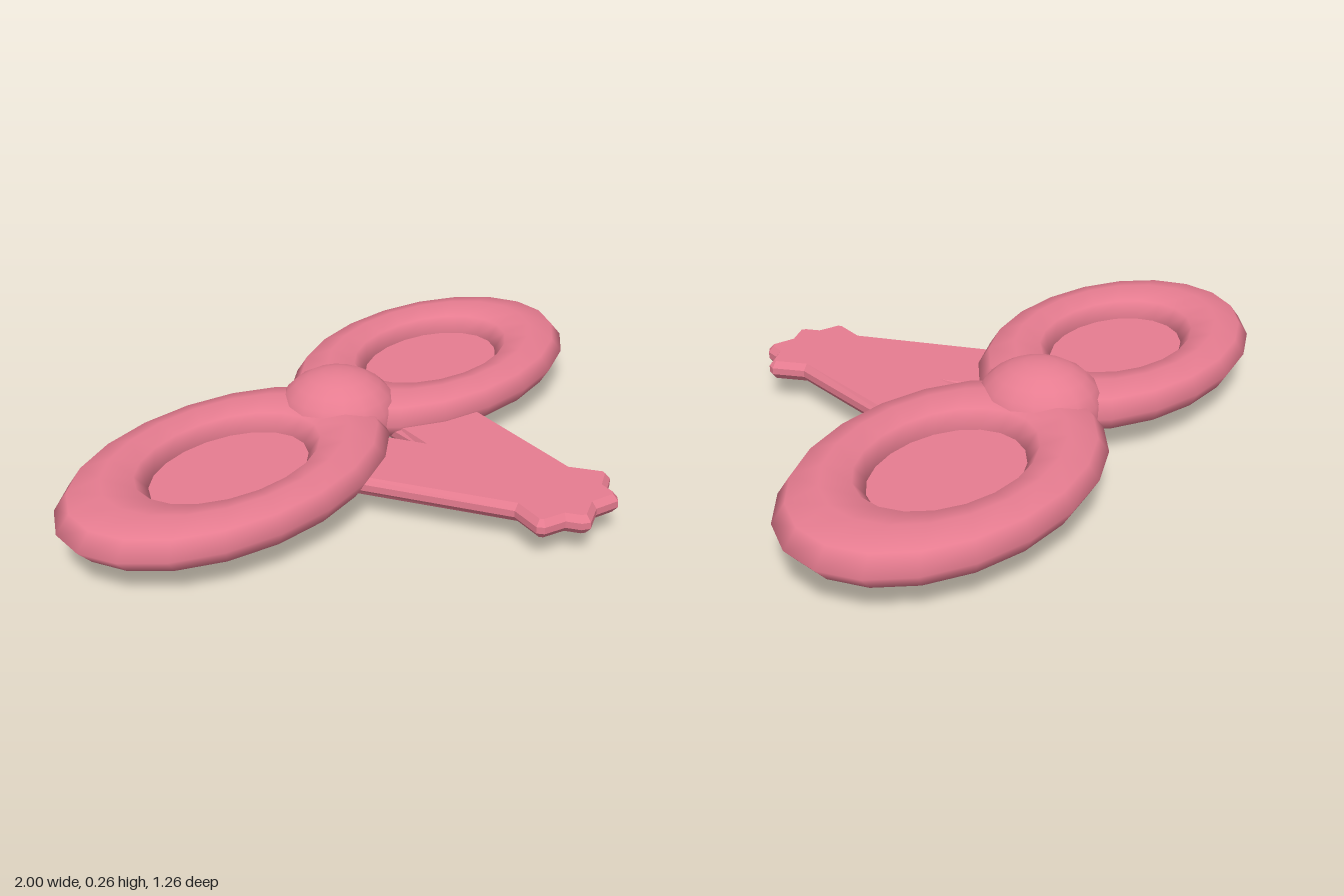
import * as THREE from 'three';

const pink = new THREE.MeshStandardMaterial({ color: 0xe67c90 });
const pinkThin = new THREE.MeshStandardMaterial({ color: 0xe67c90, side: THREE.DoubleSide });

const MID_Y = 0.132;
const KNOT_Z = -0.278;

function addMesh(parent, name, geometry, material = pink) {
  const mesh = new THREE.Mesh(geometry, material);
  mesh.name = name;
  parent.add(mesh);
  return mesh;
}

// Flattened oval ring, a little wider in its tube at the two ends
function loopRing() {
  const ring = new THREE.TorusGeometry(0.267, 0.09, 8, 20).rotateX(-Math.PI / 2);
  const pos = ring.attributes.position;
  for (let i = 0; i < pos.count; i++) {
    const x = pos.getX(i);
    const r = Math.hypot(x, pos.getZ(i));
    pos.setX(i, (x / r) * (0.397 + (r - 0.267) * 1.59));
    pos.setY(i, pos.getY(i) * 0.7);
  }
  ring.computeVertexNormals();
  // keep the seam smooth by sharing normals between coincident vertices
  const normal = ring.attributes.normal;
  const sums = new Map();
  const key = (i) => [pos.getX(i), pos.getY(i), pos.getZ(i)].map((v) => Math.round(v * 1e4)).join();
  const n = new THREE.Vector3();
  for (let i = 0; i < pos.count; i++) {
    const k = key(i);
    if (!sums.has(k)) sums.set(k, new THREE.Vector3());
    sums.get(k).add(n.fromBufferAttribute(normal, i));
  }
  for (let i = 0; i < pos.count; i++) {
    n.copy(sums.get(key(i))).normalize();
    normal.setXYZ(i, n.x, n.y, n.z);
  }
  return ring;
}

// Chamfered ribbon plate with a notched back and a scalloped front end
function tailPlate() {
  const half = [
    [0, 0.03], [0.05, -0.16], [0.33, -0.15], [0.14, 0.44], [0.175, 0.53],
    [0.165, 0.55], [0.105, 0.575], [0.09, 0.615], [0.07, 0.63], [0, 0.605],
  ];
  const mirrored = half.slice(1, -1).reverse().map(([x, z]) => [-x, z]);
  const shape = new THREE.Shape([...half, ...mirrored].map(([x, z]) => new THREE.Vector2(x, z)));
  return new THREE.ExtrudeGeometry(shape, {
    depth: 0.019, bevelEnabled: true, bevelThickness: 0.018,
    bevelSize: 0.014, bevelOffset: -0.014, bevelSegments: 1,
  }).rotateX(Math.PI / 2);
}

export function createModel() {
  const bow = new THREE.Group();
  bow.name = 'bow';

  // Two loops, each with a thin web filling its opening
  for (const [side, sign] of [['left', 1], ['right', -1]]) {
    const loop = new THREE.Group();
    loop.name = side + 'Loop';
    loop.position.set(sign * 0.46, MID_Y, KNOT_Z);
    addMesh(loop, side + 'Ring', loopRing());
    const web = new THREE.CircleGeometry(1, 20).rotateX(-Math.PI / 2).scale(0.256, 1, 0.179);
    addMesh(loop, side + 'Web', web, pinkThin);
    bow.add(loop);
  }

  // Round centre knot
  const knot = addMesh(bow, 'knot', new THREE.SphereGeometry(1, 16, 12).scale(0.172, 0.132, 0.18));
  knot.position.set(0, MID_Y, KNOT_Z);

  // Ribbon tail running forward from under the loops
  const tail = addMesh(bow, 'tail', tailPlate());
  tail.position.y = 0.107;

  return bow;
}
